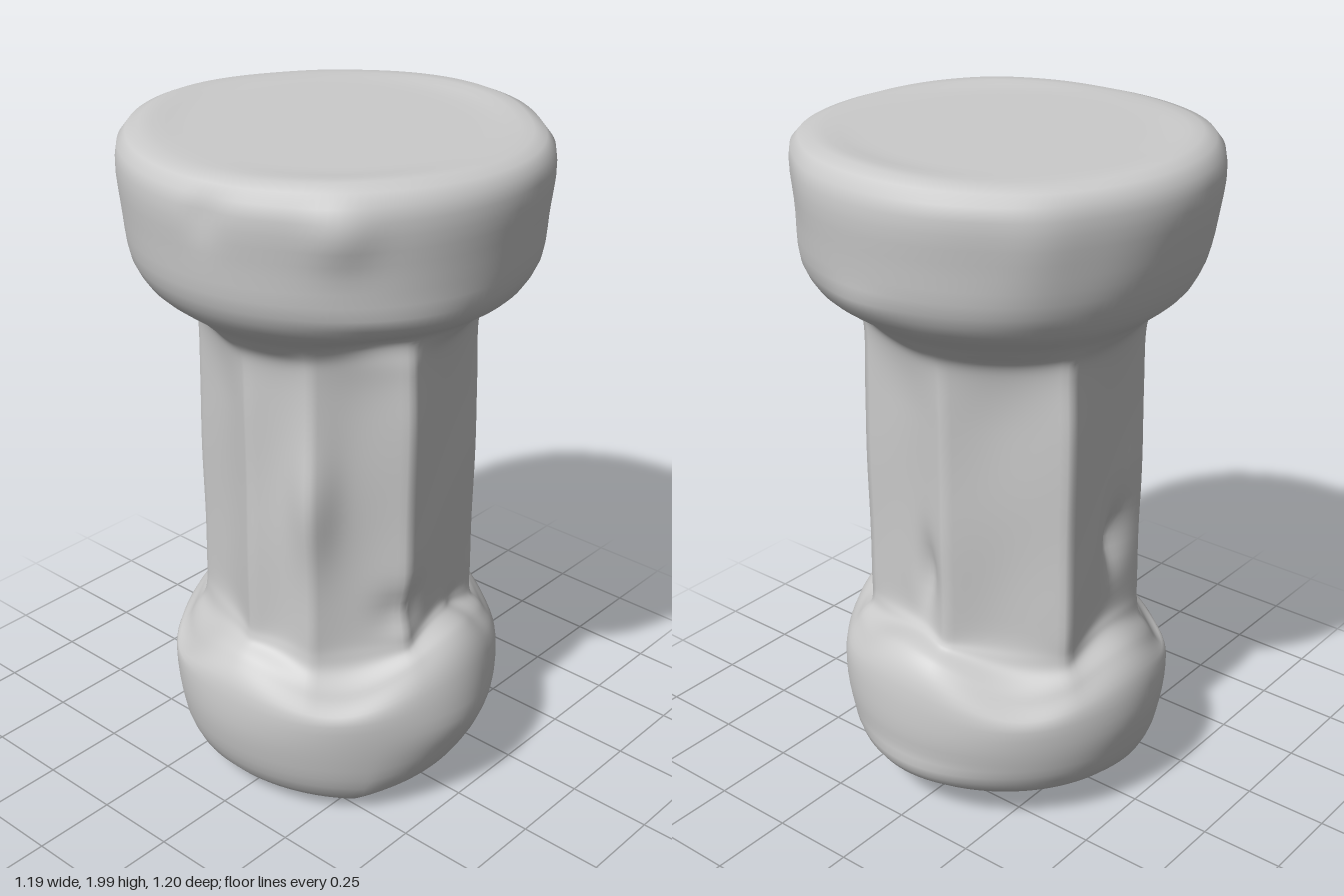
import * as THREE from 'three';

const SIDES = 144;
const ROWS = 120;

// Profile from underside to top: [radius, height, share of the ribbed shaft section]
const profile = [
  [0, 0.03, 0], [0.15, 0.03, 0], [0.3, 0.035, 0], [0.42, 0.06, 0], [0.46, 0.12, 0],
  [0.48, 0.2, 0], [0.492, 0.3, 0], [0.49, 0.39, 0], [0.46, 0.475, 0.2], [0.405, 0.54, 0.7],
  [0.385, 0.62, 1], [0.376, 0.8, 1], [0.374, 1.05, 1], [0.374, 1.25, 1],
  [0.388, 1.4, 0.75], [0.45, 1.5, 0.25], [0.535, 1.59, 0], [0.568, 1.65, 0],
  [0.584, 1.78, 0], [0.594, 1.9, 0], [0.583, 1.955, 0], [0.545, 1.985, 0],
  [0.4, 1.985, 0], [0.2, 1.985, 0], [0, 1.985, 0],
];

// Shaft ribs: [angle in degrees (0 = +x, 90 = +z), radius]
const ribs = [[-11, 0.38], [50, 0.405], [108, 0.42], [148, 0.405], [177, 0.39], [234, 0.4], [296, 0.42], [349, 0.38]];

// Wear: [angle, height, angular spread, vertical spread, amount]
const wear = [
  [148, 1.04, 9, 0.17, 0.03],   // swollen rib
  [108, 0.66, 12, 0.07, -0.03], // notch in the front rib
  [253, 0.8, 9, 0.09, -0.045],  // chipped hollow at the back
  [4, 0.74, 9, 0.11, -0.035],   // hollow beside the left rib
  [120, 1.51, 24, 0.05, -0.045], // undercut below the capital
  [115, 1.62, 24, 0.04, 0.015],
  [270, 1.64, 45, 0.09, -0.018],
  [137, 1.88, 8, 0.08, 0.02],   // lumps and dents around the rim
  [172, 1.9, 5, 0.06, -0.012],
  [40, 1.85, 12, 0.15, -0.012],
  [313, 1.85, 10, 0.15, 0.012],
  [270, 1.9, 25, 0.1, 0.006],
  [5, 1.63, 12, 0.04, 0.012],
  [65, 0.52, 8, 0.06, -0.02],   // uneven base
  [90, 0.3, 22, 0.15, 0.03],
  [270, 0.35, 20, 0.12, 0.01],
  [0, 0.11, 28, 0.07, 0.025],
];

const bell = (d, w) => Math.exp(-((d / w) ** 2));

function wearAt(angle, y) {
  let sum = 0;
  for (const [deg, h, spread, tall, amount] of wear) {
    const d = ((angle - deg + 540) % 360) - 180;
    sum += amount * bell(d, spread) * bell(y - h, tall);
  }
  return sum;
}

// Radius of the shaft: straight chords between ribs, slightly hollowed
function shaftRadius(angle) {
  const deg = angle > 349 ? angle - 360 : angle;
  const k = ribs.findIndex(([d]) => d > deg);
  const [d0, r0] = ribs[k - 1];
  const [d1, r1] = ribs[k];
  const toRad = THREE.MathUtils.degToRad;
  const u = toRad(deg - d0);
  const v = toRad(d1 - deg);
  const chord = (r0 * r1 * Math.sin(u + v)) / (r0 * Math.sin(u) + r1 * Math.sin(v));
  return chord - 0.012 * Math.sin((Math.PI * u) / (u + v));
}

function wornColumn() {
  const curve = new THREE.CatmullRomCurve3(profile.map((p) => new THREE.Vector3(...p)), false, 'centripetal');
  const rows = curve.getSpacedPoints(ROWS);
  const positions = [];
  const indices = [];

  rows.forEach(({ x: radius, y: height, z: share }, row) => {
    for (let i = 0; i < SIDES; i++) {
      const deg = (i / SIDES) * 360;
      const a = THREE.MathUtils.degToRad(deg);
      const ribbed = THREE.MathUtils.clamp(share, 0, 1);
      let r = THREE.MathUtils.lerp(Math.max(radius, 0), shaftRadius(deg), ribbed);
      const fade = THREE.MathUtils.smoothstep(radius, 0.25, 0.37);
      r += fade * (wearAt(deg, height) + 0.003 * Math.sin(3 * a + 5 * height) * Math.sin(7 * height + a));
      const x = r * Math.cos(a);
      const z = r * Math.sin(a);
      // Tilted, slightly domed underside, chamfered on the low side
      const low = 1 - THREE.MathUtils.smoothstep(height, 0.04, 0.35);
      let y = height + low * (0.12 * x + 0.16 * z * z + 0.4 * Math.max(0, -x - 0.27));
      // Scalloped collar on top of the base
      y += bell(height - 0.46, 0.08) * (0.045 * Math.cos(4 * a) + 0.025 * Math.cos(a) + 0.02 * Math.sin(a));
      // Slightly uneven rim
      y += bell(height - 1.985, 0.03) * bell(radius - 0.52, 0.06) * 0.006 * Math.sin(3 * a + 1);
      positions.push(x, y, z);

      if (row < ROWS) {
        const j = (i + 1) % SIDES;
        const p = row * SIDES;
        const q = p + SIDES;
        indices.push(p + i, q + i, p + j, p + j, q + i, q + j);
      }
    }
  });

  const geometry = new THREE.BufferGeometry();
  geometry.setAttribute('position', new THREE.Float32BufferAttribute(positions, 3));
  geometry.setIndex(indices);
  geometry.computeBoundingBox();
  geometry.translate(0, -geometry.boundingBox.min.y, 0);
  geometry.computeVertexNormals();
  return geometry;
}

export function createModel() {
  const group = new THREE.Group();
  group.name = 'wornPedestal';
  const material = new THREE.MeshStandardMaterial({ color: 0xcccccc });
  const column = new THREE.Mesh(wornColumn(), material);
  column.name = 'column';
  group.add(column);
  return group;
}
